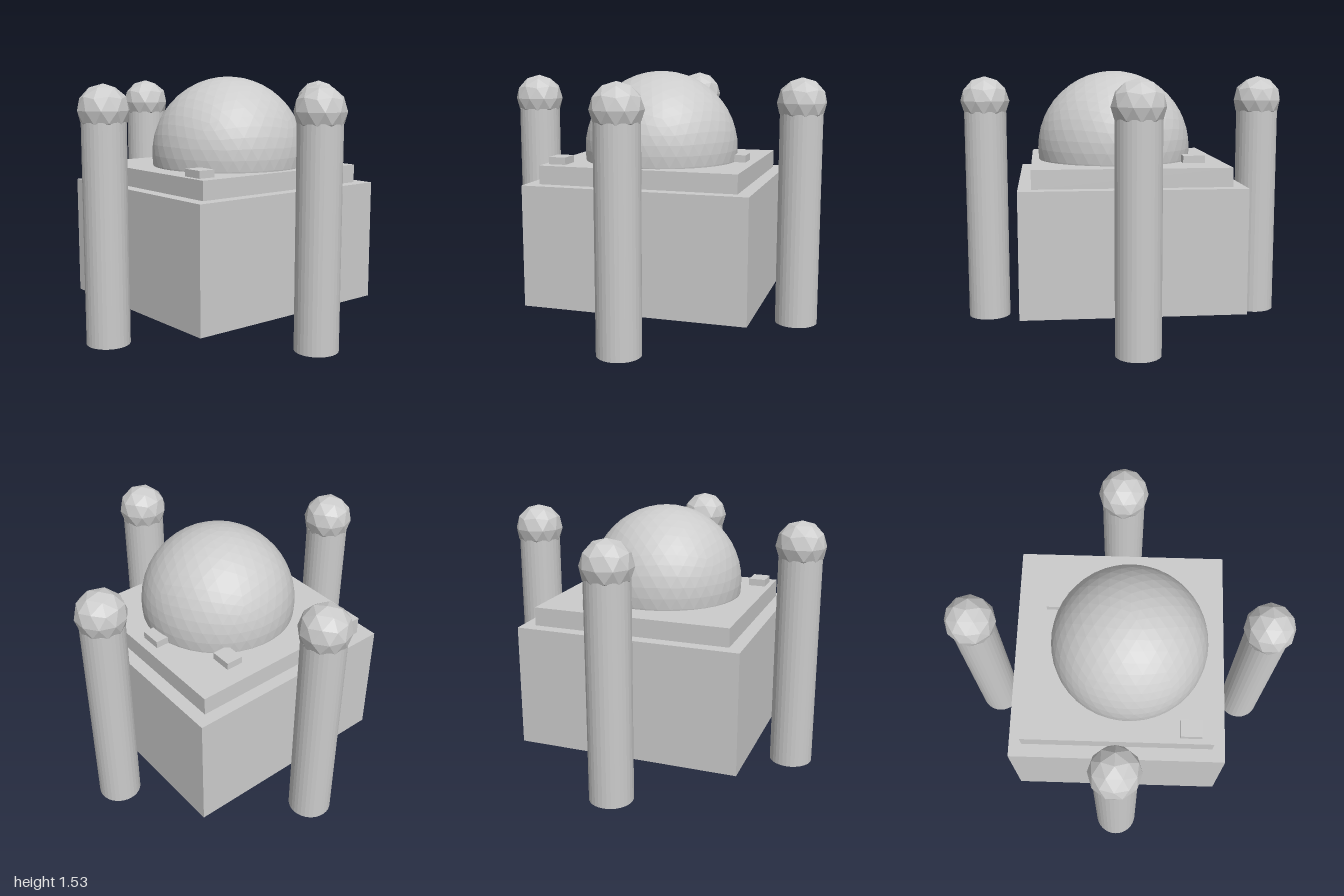
import * as THREE from 'three';

const material = new THREE.MeshStandardMaterial({ color: 0xcccccc, flatShading: true });

function addPart(parent, name, geometry, x, y, z) {
  const mesh = new THREE.Mesh(geometry, material);
  mesh.name = name;
  mesh.position.set(x, y, z);
  parent.add(mesh);
  return mesh;
}

// Faceted sphere with a vertex at its pole
function icoSphere(radius, detail) {
  return new THREE.IcosahedronGeometry(radius, detail).rotateZ(-Math.atan(2 / (1 + Math.sqrt(5))));
}

export function createModel() {
  const model = new THREE.Group();
  model.name = 'domedBuilding';

  // Main block and stepped roof
  addPart(model, 'mainBlock', new THREE.BoxGeometry(1.34, 0.725, 1.29), 0, 0.5175, 0);
  addPart(model, 'roofStep', new THREE.BoxGeometry(1.184, 0.11, 1.14), 0, 0.935, 0);

  // Dome, its lower half sunk into the block
  addPart(model, 'dome', icoSphere(0.47, 7), 0, 1.06, 0.06);

  // Small blocks scattered on the roof
  for (const [x, z] of [[0.287, -0.39], [0.483, 0.021], [-0.508, 0.434]]) {
    addPart(model, 'roofBlock', new THREE.BoxGeometry(0.104, 0.06, 0.13), x, 1.003, z);
  }

  // Four towers, one in front of each side, each topped by a ball
  const shaft = new THREE.CylinderGeometry(0.128, 0.128, 1.285, 32);
  const ball = icoSphere(0.149, 1);
  for (const [x, z] of [[0.85, 0], [-0.85, 0], [0, 0.85], [0, -0.85]]) {
    const tower = new THREE.Group();
    tower.name = 'tower';
    tower.position.set(x, 0, z);
    addPart(tower, 'towerShaft', shaft, 0, 0.6425, 0);
    addPart(tower, 'towerBall', ball, 0, 1.348, 0);
    model.add(tower);
  }
  return model;
}
